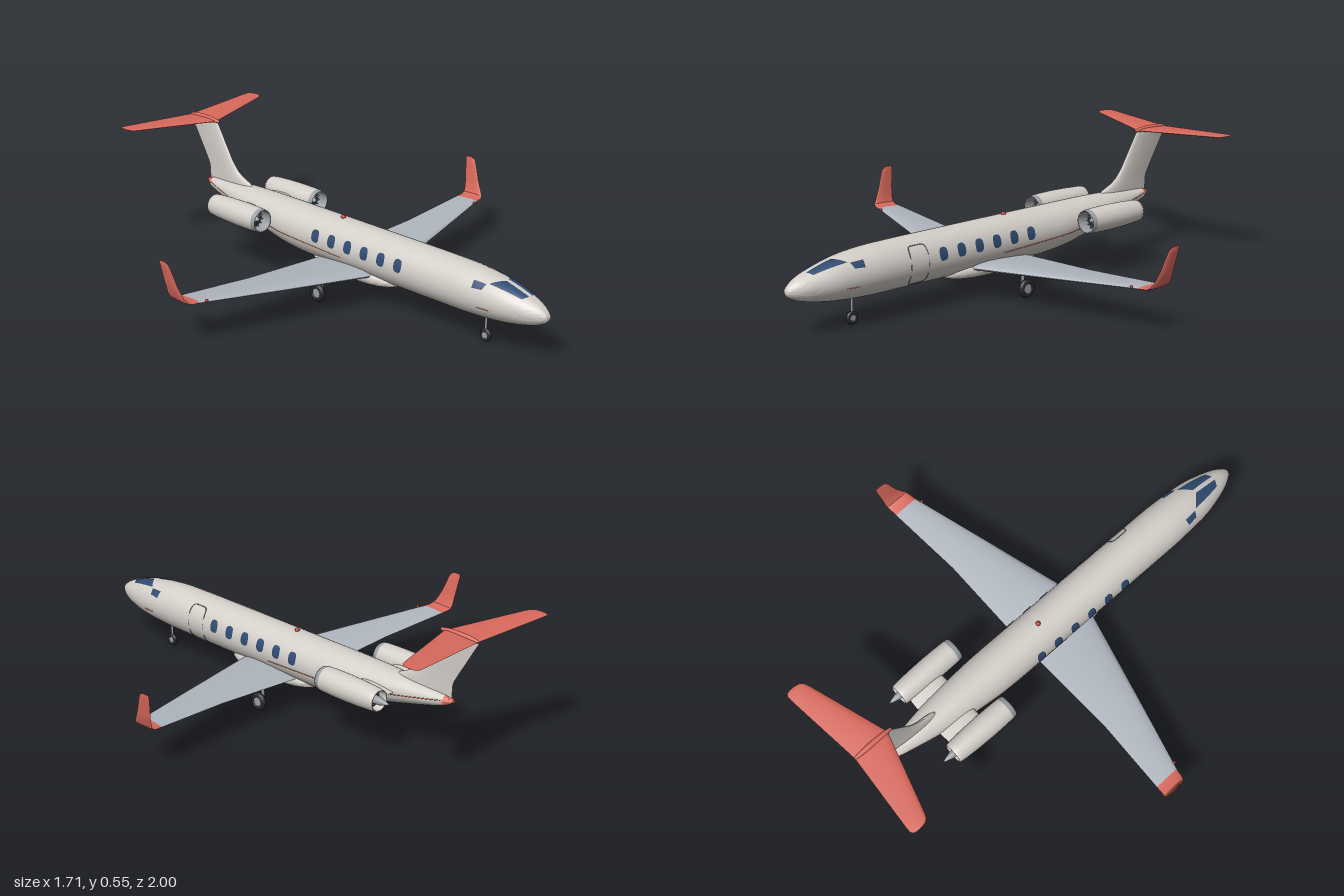
import * as THREE from 'three';
import { toCreasedNormals } from 'three/addons/utils/BufferGeometryUtils.js';

const V = (x, y, z) => new THREE.Vector3(x, y, z);
const mat = (name, color, side = THREE.FrontSide) => {
  const m = new THREE.MeshStandardMaterial({ color, side });
  m.name = name;
  return m;
};

// fuselage stations: z, top, bottom, half width
const STATIONS = [
  [1, .186, .184, .001], [.995, .197, .172, .013], [.98, .21, .159, .025], [.95, .228, .145, .042],
  [.9, .247, .131, .06], [.8, .274, .115, .083], [.7, .289, .107, .091], [.6, .296, .104, .095],
  [.4, .298, .104, .095], [-.2, .298, .104, .095], [-.3, .298, .111, .094], [-.45, .298, .138, .085],
  [-.6, .295, .175, .069], [-.75, .286, .213, .043], [-.83, .279, .236, .026], [-.865, .268, .256, .008],
];

// smooth interpolation between stations
function hull(z) {
  const S = STATIONS, n = S.length;
  let i = 0;
  while (i < n - 2 && z < S[i + 1][0]) i++;
  const slope = (j, k) => {
    const d = (a, b) => (S[b][k] - S[a][k]) / (S[b][0] - S[a][0]);
    if (j === 0) return d(0, 1);
    if (j === n - 1) return d(n - 2, n - 1);
    const a = d(j - 1, j), b = d(j, j + 1);
    return a * b <= 0 ? 0 : 2 * a * b / (a + b);
  };
  const h = S[i + 1][0] - S[i][0], t = (z - S[i][0]) / h;
  const f = k => S[i][k] * (1 + 2 * t) * (1 - t) ** 2 + slope(i, k) * h * t * (1 - t) ** 2
    + S[i + 1][k] * t * t * (3 - 2 * t) + slope(i + 1, k) * h * t * t * (t - 1);
  const top = f(1), bottom = f(2);
  return { yc: (top + bottom) / 2, ry: (top - bottom) / 2, rx: f(3) };
}

// point on the fuselage skin; angle is measured from the top
function skin(z, a, off = 0) {
  const { yc, rx, ry } = hull(z);
  return V((rx + off) * Math.sin(a), yc + (ry + off) * Math.cos(a), z);
}
function skinAtY(z, y, off) {
  const { yc, ry } = hull(z);
  return skin(z, Math.acos(THREE.MathUtils.clamp((y - yc) / ry, -1, 1)), off);
}

// closed skin through rings of points, capped at both ends and facing outward
function loft(rings, crease = .7) {
  const n = rings[0].length, pts = rings.flat(), idx = [];
  for (let r = 0; r < rings.length - 1; r++) for (let i = 0; i < n; i++) {
    const a = r * n + i, b = r * n + (i + 1) % n;
    idx.push(a, b, a + n, b, b + n, a + n);
  }
  [[0, true], [rings.length - 1, false]].forEach(([r, first]) => {
    const c = pts.length;
    pts.push(rings[r].reduce((s, p) => s.add(p), V(0, 0, 0)).divideScalar(n));
    for (let i = 0; i < n; i++) {
      const a = r * n + i, b = r * n + (i + 1) % n;
      first ? idx.push(c, b, a) : idx.push(c, a, b);
    }
  });
  let vol = 0;
  for (let i = 0; i < idx.length; i += 3)
    vol += pts[idx[i]].dot(pts[idx[i + 1]].clone().cross(pts[idx[i + 2]]));
  if (vol < 0) idx.reverse();
  const g = new THREE.BufferGeometry().setFromPoints(pts);
  g.setIndex(idx);
  return toCreasedNormals(g, crease);
}

// aerofoil ring between leading and trailing edge, thickened along a normal
function foil(le, te, thick, normal) {
  const half = t => 5 * (.2969 * Math.sqrt(t) - .126 * t - .3516 * t * t + .2843 * t ** 3 - .1015 * t ** 4);
  const N = 12;
  return Array.from({ length: 2 * N }, (_, i) => {
    const t = (1 - Math.cos(Math.PI * i / N)) / 2;
    return le.clone().lerp(te, t).addScaledVector(normal, (i <= N ? 1 : -1) * thick * half(t));
  });
}
// spanwise rows: x, y, leading z, trailing z, thickness, roll
const surface = (rows, s) => loft(rows.map(([x, y, l, t, th, roll = 0]) =>
  foil(V(s * x, y, l), V(s * x, y, t), th, V(-s * Math.sin(roll), Math.cos(roll), 0))));

// grid sheet from a function of u and v
function sheet(fn, nu, nv) {
  const g = new THREE.PlaneGeometry(1, 1, nu, nv), p = g.attributes.position;
  for (let i = 0; i < p.count; i++) {
    const q = fn(p.getX(i) + .5, p.getY(i) + .5);
    p.setXYZ(i, q.x, q.y, q.z);
  }
  g.computeVertexNormals();
  return g;
}

export function createModel() {
  const root = new THREE.Group();
  const cream = mat('cream paint', 0xd3cec8), coral = mat('coral paint', 0xd9695c);
  const wingGrey = mat('wing grey', 0xb0b6bf), glass = mat('blue glass', 0x2f4a70, THREE.DoubleSide);
  const metal = mat('metal', 0x9a9da3), dark = mat('dark fan', 0x3a3d42);
  const rubber = mat('rubber', 0x26272a), seam = mat('seam grey', 0x77767a), red = mat('beacon red', 0xc23a30);
  const add = (name, geo, material, parent = root) => {
    const m = new THREE.Mesh(geo, material);
    m.name = name;
    parent.add(m);
    return m;
  };
  const rod = (name, a, b, r, material) => {
    const m = add(name, new THREE.CylinderGeometry(r, r, a.distanceTo(b), 14), material);
    m.position.copy(a).lerp(b, .5);
    m.quaternion.setFromUnitVectors(V(0, 1, 0), b.clone().sub(a).normalize());
  };
  const line = (name, pts, closed, r, material) =>
    add(name, new THREE.TubeGeometry(new THREE.CatmullRomCurve3(pts, closed, 'catmullrom', .2), 100, r, 5, closed), material);

  // fuselage and tail tip
  const ring = z => Array.from({ length: 40 }, (_, i) => skin(z, i * Math.PI / 20));
  const span = (a, b, n, pow = 1) => Array.from({ length: n + 1 }, (_, i) => ring(a + (b - a) * (i / n) ** pow));
  add('fuselage', loft(span(1, -.83, 70, 1.6), 1.2), cream);
  add('tailTip', loft(span(-.83, -.865, 5)), coral);

  // belly fairing
  const fairing = Array.from({ length: 29 }, (_, i) => {
    const t = -Math.cos(Math.PI * i / 28), f = Math.max(.02, Math.sqrt(1 - Math.abs(t) ** 3));
    return Array.from({ length: 32 }, (_, j) => {
      const a = j * Math.PI / 16, c = Math.cos(a), s = Math.sin(a);
      return V(.09 * f * Math.sign(c) * Math.abs(c) ** .7, .117 + .033 * f * Math.sign(s) * Math.abs(s) ** .7, .045 + .245 * t);
    });
  });
  add('bellyFairing', loft(fairing, 1.2), cream);

  // fin and tailplane fairing
  const fin = [[.26, -.55, -.855, .032], [.3, -.6, -.857, .03], [.32, -.645, -.857, .026], [.34, -.677, -.862, .023],
    [.38, -.712, -.885, .021], [.525, -.8, -.972, .018]];
  add('fin', loft(fin.map(([y, l, t, th]) => foil(V(0, y, l), V(0, y, t), th, V(1, 0, 0)))), cream);
  const bullet = add('tailBullet', new THREE.SphereGeometry(1, 20, 14), coral);
  bullet.scale.set(.012, .014, .093);
  bullet.position.set(0, .531, -.88);

  // cabin door outline, on one side only
  const door = [];
  for (let i = 0; i < 40; i++) {
    const a = i * Math.PI / 20, c = Math.cos(a), s = Math.sin(a);
    door.push(skinAtY(.443 + .043 * Math.sign(c) * Math.abs(c) ** .3, .2 + .075 * Math.sign(s) * Math.abs(s) ** .3, 0));
  }
  line('doorOutline', door, true, .0018, seam);

  // roof beacon
  add('beacon', new THREE.SphereGeometry(.01, 14, 10), red).position.set(0, .299, -.055);

  for (const s of [1, -1]) {
    // wing, painted tip and winglet, tailplane
    add('wing', surface([[0, .128, .193, -.12, .036], [.095, .134, .166, -.12, .034],
      [.45, .153, .065, -.116, .022], [.775, .171, -.03, -.138, .011]], s), wingGrey);
    add('winglet', surface([[.775, .171, -.03, -.138, .011], [.808, .173, -.036, -.14, .01, .1],
      [.823, .179, -.042, -.143, .009, .6], [.831, .195, -.054, -.145, .009, 1.2], [.84, .24, -.078, -.15, .008, 1.4],
      [.85, .305, -.102, -.16, .007, 1.45], [.853, .322, -.112, -.162, .006, 1.45], [.854, .33, -.13, -.16, .003, 1.45]], s), coral);
    add('tailplane', surface([[0, .53, -.81, -.968, .014], [.33, .541, -.913, -1, .008], [.35, .5415, -.922, -1, .006],
      [.36, .542, -.935, -.994, .004], [.364, .542, -.955, -.98, .002]], s), coral);
    add('wingLight', new THREE.SphereGeometry(.006, 10, 8), red).position.set(s * .75, .175, -.02);

    // cabin windows
    for (let i = 0; i < 6; i++) add('cabinWindow', sheet((u, v) => {
      const a = u * Math.PI * 2, c = Math.cos(a), q = Math.sin(a), r = Math.max(v, .001);
      const p = skinAtY(.33 - .09 * i + .02 * r * Math.sign(c) * Math.abs(c) ** .7,
        .225 + .025 * r * Math.sign(q) * Math.abs(q) ** .7, .003);
      p.x *= s;
      return p;
    }, 24, 3), glass);

    // cockpit panes, corners as z and skin angle
    for (const [A, B, C, D] of [
      [[.91, .15], [.897, .6], [.757, .66], [.8, .1]],
      [[.748, .72], [.74, 1.03], [.695, 1.1], [.692, .76]],
    ]) add('cockpitWindow', sheet((u, v) => {
      const m = k => (A[k] * (1 - u) + B[k] * u) * (1 - v) + (D[k] * (1 - u) + C[k] * u) * v;
      const p = skin(m(0), m(1), .0025);
      p.x *= s;
      return p;
    }, 8, 8), glass);

    // thin side stripe
    for (const [z0, z1] of [[.78, .72], [.02, -.35], [-.35, -.825]]) {
      const y = z => z > -.35 ? .172 + Math.max(0, -z) * .045 : .188 + (-.35 - z) * .158;
      line('sideStripe', Array.from({ length: 14 }, (_, i) => {
        const z = z0 + (z1 - z0) * i / 13, p = skinAtY(z, y(z), -.0005);
        p.x *= s;
        return p;
      }), false, .0018, coral);
    }

    // engine
    const engine = new THREE.Group();
    engine.name = 'engine';
    engine.position.set(s * .16, .244, 0);
    root.add(engine);
    const lathe = (name, pts, m) => add(name, new THREE.LatheGeometry(pts.map(p => new THREE.Vector2(...p)), 32)
      .rotateX(Math.PI / 2), m, engine);
    lathe('nacelle', [[.034, -.6], [.038, -.645], [.0425, -.645], [.046, -.62], [.0495, -.56], [.0515, -.48], [.051, -.42], [.0495, -.375]], cream);
    lathe('inletLip', [[.0495, -.375], [.048, -.36], [.0455, -.354], [.043, -.358], [.041, -.375], [.041, -.41]], metal);
    lathe('fanDisc', [[.042, -.408], [0, -.406]], dark);
    lathe('spinner', [[.013, -.406], [.01, -.388], [0, -.372]], metal);
    lathe('exhaustDisc', [[0, -.61], [.037, -.612]], dark);
    lathe('exhaustCone', [[0, -.696], [.007, -.68], [.015, -.65], [.018, -.61]], metal);
    for (let i = 0; i < 14; i++) {
      const g = new THREE.BoxGeometry(.0035, .03, .005).rotateY(.6).translate(0, .026, -.4).rotateZ(i * Math.PI / 7);
      add('fanBlade', g, metal, engine);
    }
    add('pylon', surface([[.04, .24, -.46, -.63, .03], [.125, .244, -.465, -.625, .028]], s), cream);

    // main landing gear
    rod('mainStrut', V(s * .155, .034, -.02), V(s * .155, .14, -.02), .007, metal);
    rod('mainAxle', V(s * .15, .038, -.02), V(s * .18, .038, -.02), .006, metal);
    rod('mainBrace', V(s * .155, .085, -.02), V(s * .095, .12, -.02), .005, metal);
    wheel(V(s * .178, .038, -.02), .038, .012);
  }

  // nose landing gear
  rod('noseStrut', V(0, .028, .7), V(0, .12, .7), .005, metal);
  wheel(V(0, .027, .7), .027, .009);

  function wheel(p, r, tube) {
    add('tyre', new THREE.TorusGeometry(r - tube, tube, 12, 28).rotateY(Math.PI / 2), rubber).position.copy(p);
    add('wheelHub', new THREE.CylinderGeometry(r - tube * 1.6, r - tube * 1.6, tube * 1.5, 20).rotateZ(Math.PI / 2), metal).position.copy(p);
  }
  return root;
}
